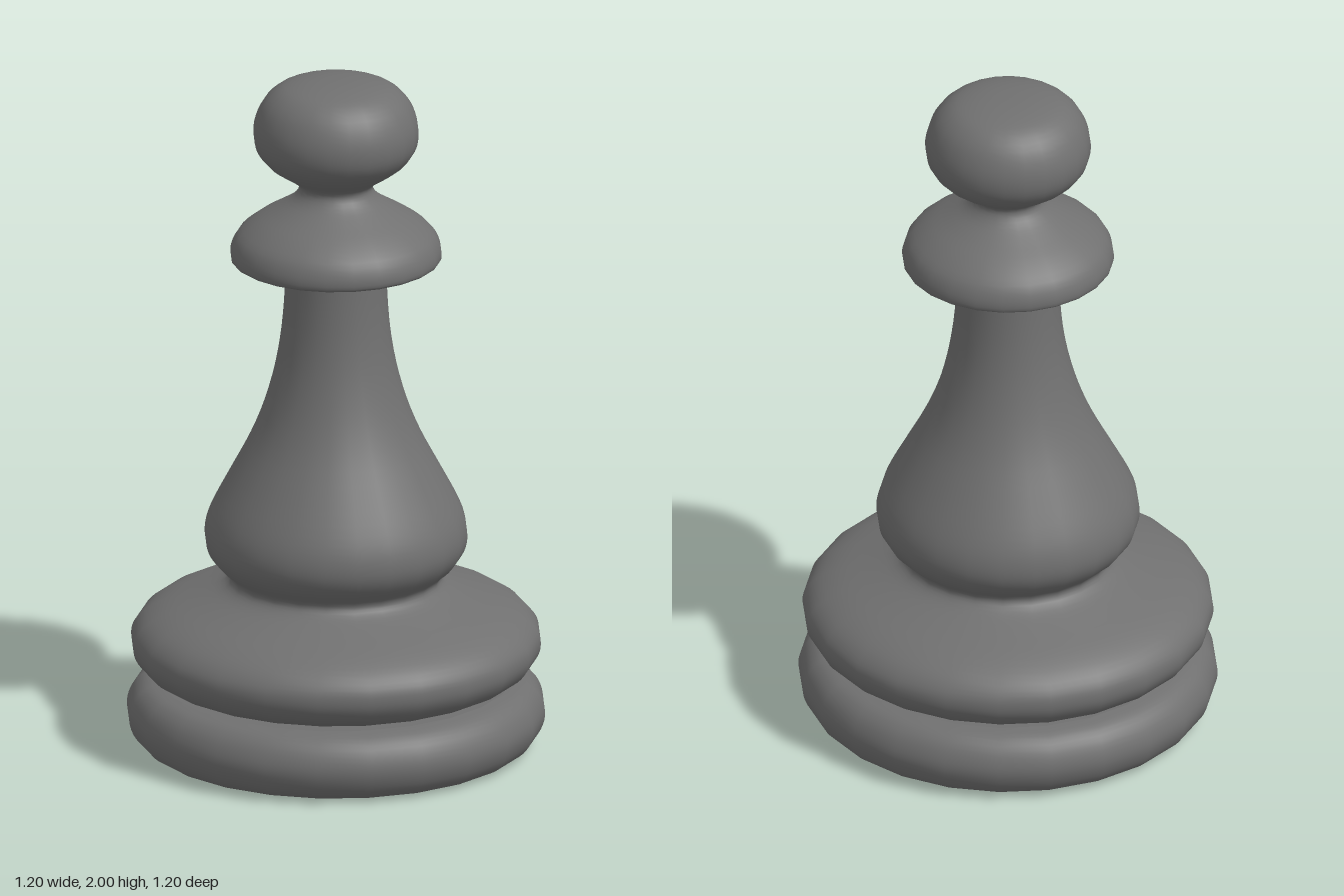
import * as THREE from 'three';

const SIDES = 24;
const material = new THREE.MeshStandardMaterial({ color: 0x707070 });

// Turns a profile of [radius, height] points, listed bottom to top, around y.
function turned(name, profile, steps = 0) {
  let points = profile.map(([r, y]) => new THREE.Vector2(r, y));
  if (steps) {
    points = new THREE.SplineCurve(points).getPoints(steps);
    points.forEach((p) => { p.x = Math.max(p.x, 0); });
  }
  const mesh = new THREE.Mesh(new THREE.LatheGeometry(points, SIDES), material);
  mesh.name = name;
  return mesh;
}

export function createModel() {
  const group = new THREE.Group();
  group.name = 'pawn';

  group.add(
    // Flat foot and rounded lower ring
    turned('foot', [[0, 0], [0.51, 0]]),
    turned('baseRing', [
      [0.51, 0], [0.55, 0.01], [0.582, 0.038], [0.6, 0.08], [0.6, 0.12],
      [0.582, 0.162], [0.55, 0.19], [0.51, 0.2],
    ], 21),
    turned('baseLedge', [[0.51, 0.2], [0.46, 0.2]]),

    // Wider rounded ring sloping up into the waist, then the bell-shaped stem
    turned('upperRingAndStem', [
      [0.46, 0.2], [0.51, 0.215], [0.555, 0.24], [0.582, 0.275], [0.59, 0.31],
      [0.582, 0.345], [0.55, 0.382], [0.49, 0.415], [0.4, 0.447], [0.335, 0.472],
      [0.308, 0.495], [0.312, 0.518], [0.342, 0.545], [0.367, 0.58], [0.378, 0.62],
      [0.373, 0.67], [0.35, 0.73], [0.3, 0.825], [0.245, 0.93], [0.205, 1.03],
      [0.175, 1.14], [0.157, 1.25], [0.148, 1.36], [0.145, 1.456],
    ], 69),

    // Flat underside of the collar
    turned('collarUnderside', [[0.145, 1.456], [0.292, 1.456]]),

    // Collar narrowing to the neck and swelling into the flattened head
    turned('collarAndHead', [
      [0.292, 1.456], [0.303, 1.466], [0.302, 1.497], [0.283, 1.537], [0.235, 1.578],
      [0.175, 1.614], [0.13, 1.643], [0.108, 1.67], [0.112, 1.692], [0.145, 1.715],
      [0.193, 1.748], [0.227, 1.79], [0.238, 1.838], [0.231, 1.888], [0.207, 1.938],
      [0.165, 1.975], [0.11, 1.992], [0.05, 1.999], [0, 2],
    ], 54),
  );
  return group;
}
